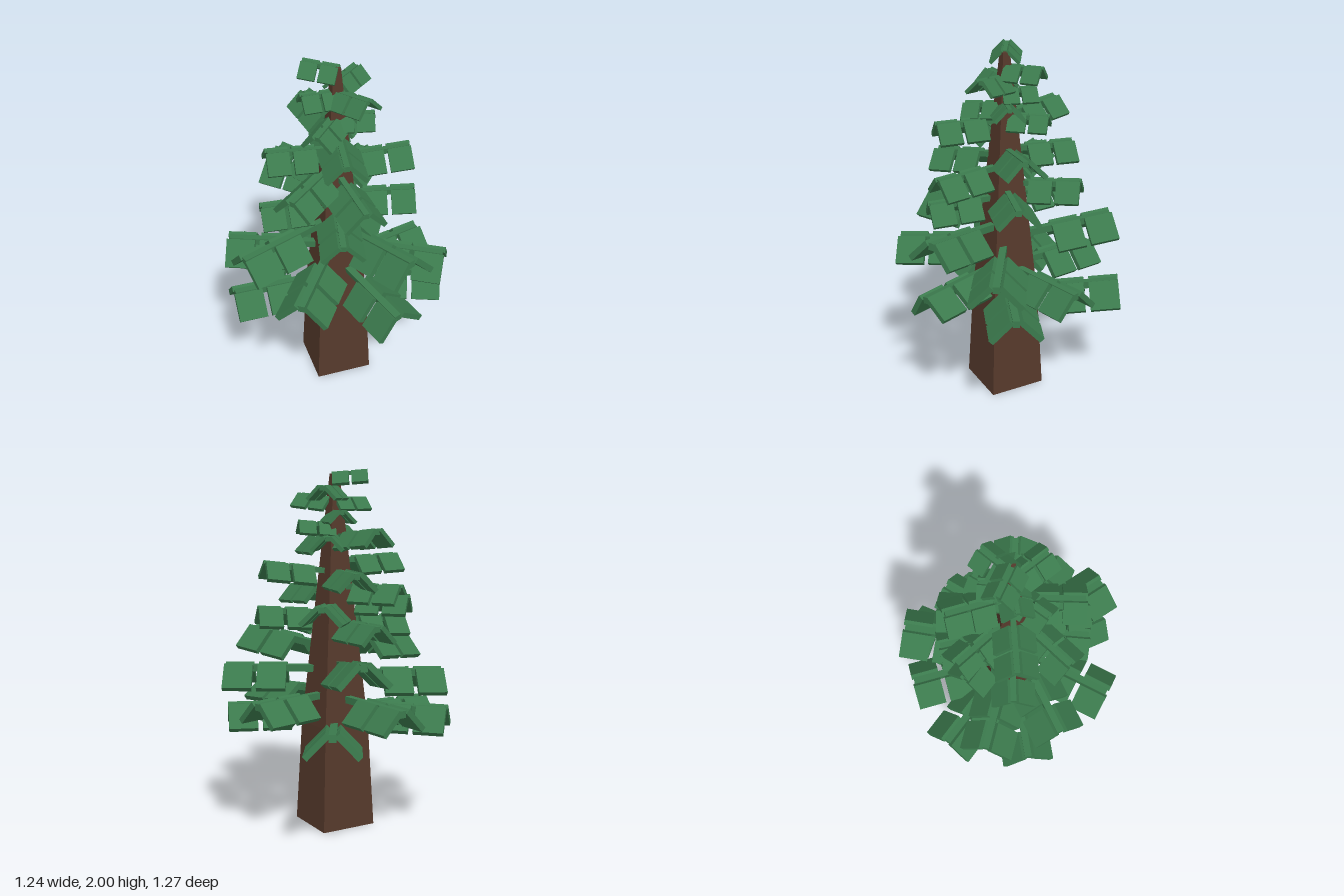
import * as THREE from 'three';

const bark = new THREE.MeshStandardMaterial({ color: 0x55392b });
bark.name = 'barkBrown';
const needles = new THREE.MeshStandardMaterial({ color: 0x3b7a4d });
needles.name = 'needleGreen';

const AXIS_Z = 0.015; // the trunk stands slightly forward

// azimuth in degrees (0 = +x, 90 = front), ridge height, reach, upward tilt, roll
const BRANCHES = [
  // broad lower boughs
  [180, 0.665, 0.61, 0], [22, 0.70, 0.60, 0], [-59, 0.59, 0.65, 0.12],
  [225, 0.70, 0.64, 0], [74, 0.78, 0.60, -0.06, 0.2], [-97, 0.75, 0.60, 0],
  [-14, 0.77, 0.575, 0], [203, 0.88, 0.62, -0.01], [126, 0.92, 0.61, -0.06],
  [32, 0.91, 0.62, 0], [-74, 0.93, 0.62, 0.14], [163, 1.075, 0.61, -0.09],
  [67, 1.02, 0.61, 0.11],
  // middle boughs
  [-95, 1.17, 0.41, 0], [188, 1.19, 0.42, -0.05], [103, 1.18, 0.43, -0.06],
  [18, 1.22, 0.43, 0.06], [-50, 1.26, 0.42, 0.05], [225, 1.31, 0.42, 0],
  [86, 1.36, 0.42, -0.06], [142, 1.42, 0.42, -0.09], [-124, 1.37, 0.40, 0],
  [12, 1.45, 0.40, 0.12], [-78, 1.45, 0.39, 0], [185, 1.51, 0.38, 0.04],
  [100, 1.62, 0.38, -0.02], [-100, 1.64, 0.36, 0.1],
  // short upper boughs
  [-50, 1.635, 0.24, 0], [135, 1.70, 0.23, -0.1], [20, 1.70, 0.20, 0.08],
  [-75, 1.77, 0.17, 0], [180, 1.84, 0.19, 0], [62, 1.84, 0.23, 0.1],
  [-40, 1.90, 0.21, 0], [212, 1.975, 0.18, 0.08],
];

function box(name, material, w, h, d) {
  const mesh = new THREE.Mesh(new THREE.BoxGeometry(w, h, d), material);
  mesh.name = name;
  return mesh;
}

// A stem carrying two roof-shaped pairs of needle slabs
function createBranch([azimuth, y, reach, tilt, roll = 0]) {
  const branch = new THREE.Group();
  branch.name = 'branch';
  branch.position.set(0, y, AXIS_Z);
  branch.rotation.set(roll, -THREE.MathUtils.degToRad(azimuth), tilt, 'YZX');

  const length = 0.06 + 0.165 * reach;

  const stem = box('stem', needles, reach - 0.01, length * 0.24, length * 0.24);
  stem.position.set((reach - 0.01) / 2, -length * 0.1, 0);
  branch.add(stem);

  for (const pair of [0, 1]) {
    const x = reach - length / 2 - pair * (length * 1.17);
    for (const side of [-1, 1]) {
      const hinge = new THREE.Group();
      hinge.name = 'needleSlabHinge';
      hinge.position.set(x, 0, side * length * 0.15);
      hinge.rotation.x = side * 0.8;
      const slab = box('needleSlab', needles, length, length * 0.2, length);
      slab.position.z = side * length / 2;
      hinge.add(slab);
      branch.add(hinge);
    }
  }
  return branch;
}

// Square trunk, steep at the foot and tapering faster above the lowest boughs
function createTrunk() {
  const profile = [[0, 0], [0.162, 0], [0.137, 0.58], [0.02, 1.97], [0, 1.97]]
    .map(([half, y]) => new THREE.Vector2(half * Math.SQRT2, y));
  const geometry = new THREE.LatheGeometry(profile, 4).toNonIndexed();
  geometry.rotateY(Math.PI / 4);
  geometry.computeVertexNormals();
  const trunk = new THREE.Mesh(geometry, bark);
  trunk.name = 'trunk';
  trunk.position.z = AXIS_Z;
  return trunk;
}

export function createModel() {
  const tree = new THREE.Group();
  tree.name = 'tree';
  tree.add(createTrunk());
  for (const spec of BRANCHES) tree.add(createBranch(spec));
  return tree;
}
